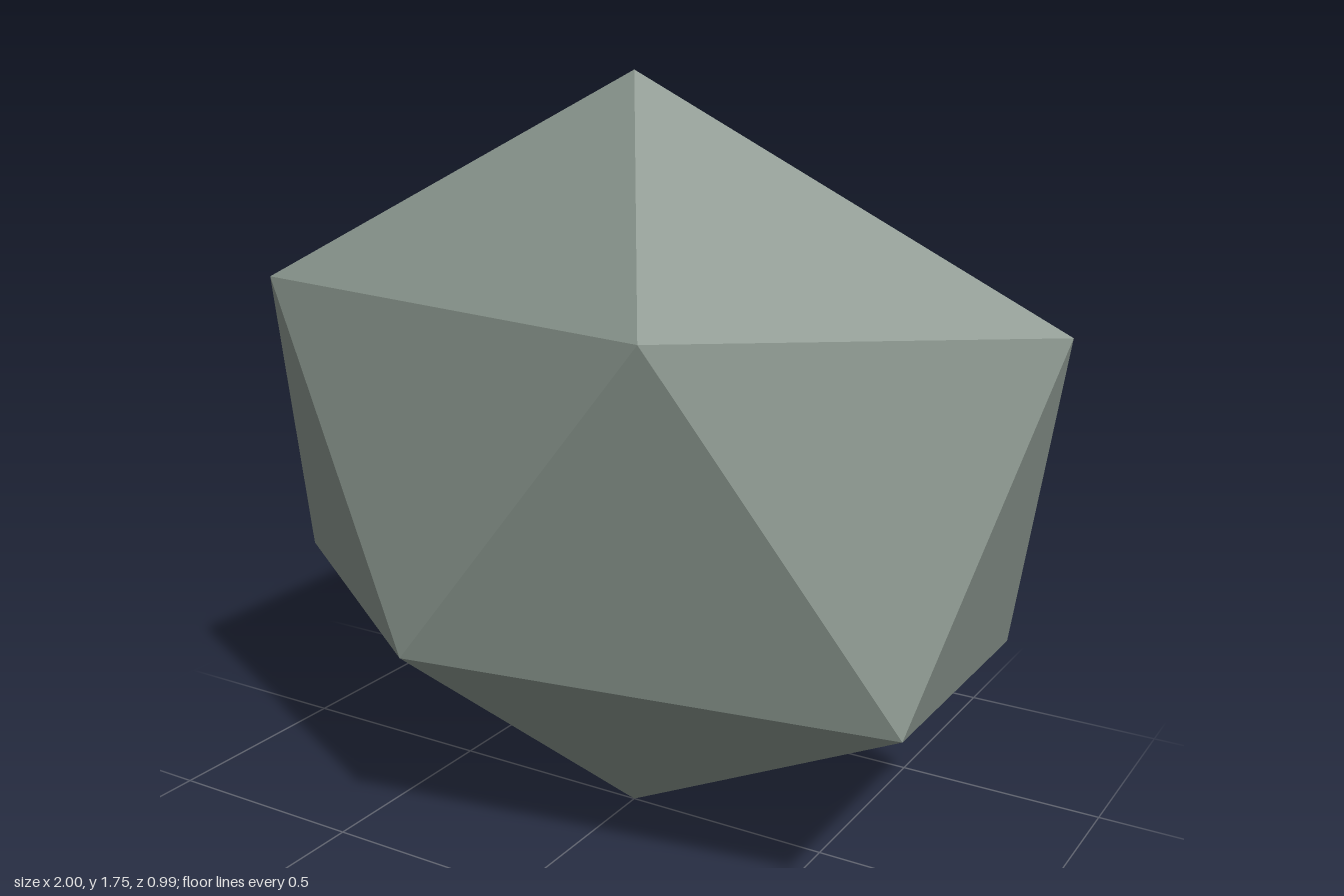
import * as THREE from 'three';

const TOP = 1.745, UPPER = 1.265, LOWER = 0.483, DEPTH = 0.52;

// Five-point elliptical ring, counter-clockwise from above
function ring(y, turn) {
  return Array.from({ length: 5 }, (_, i) => {
    const a = turn + (i * Math.PI * 2) / 5;
    return [Math.cos(a), y, -Math.sin(a) * DEPTH];
  });
}

// Twenty-sided stone flattened front to back
function stoneGeometry() {
  const top = [0, TOP, 0], bottom = [0, 0, 0];
  const upper = ring(UPPER, 0), lower = ring(LOWER, Math.PI / 5);
  const points = [];
  for (let i = 0; i < 5; i++) {
    const j = (i + 1) % 5;
    points.push(
      top, upper[i], upper[j],         // cap
      upper[i], lower[i], upper[j],    // sides
      lower[i], lower[j], upper[j],
      bottom, lower[j], lower[i]       // base
    );
  }
  const geometry = new THREE.BufferGeometry();
  geometry.setAttribute('position', new THREE.Float32BufferAttribute(points.flat(), 3));
  geometry.computeVertexNormals();
  return geometry;
}

export function createModel() {
  const group = new THREE.Group();
  group.name = 'rock';
  const material = new THREE.MeshStandardMaterial({ color: 0x87938b, flatShading: true });
  material.name = 'grey green stone';
  const stone = new THREE.Mesh(stoneGeometry(), material);
  stone.name = 'stone';
  group.add(stone);
  return group;
}
